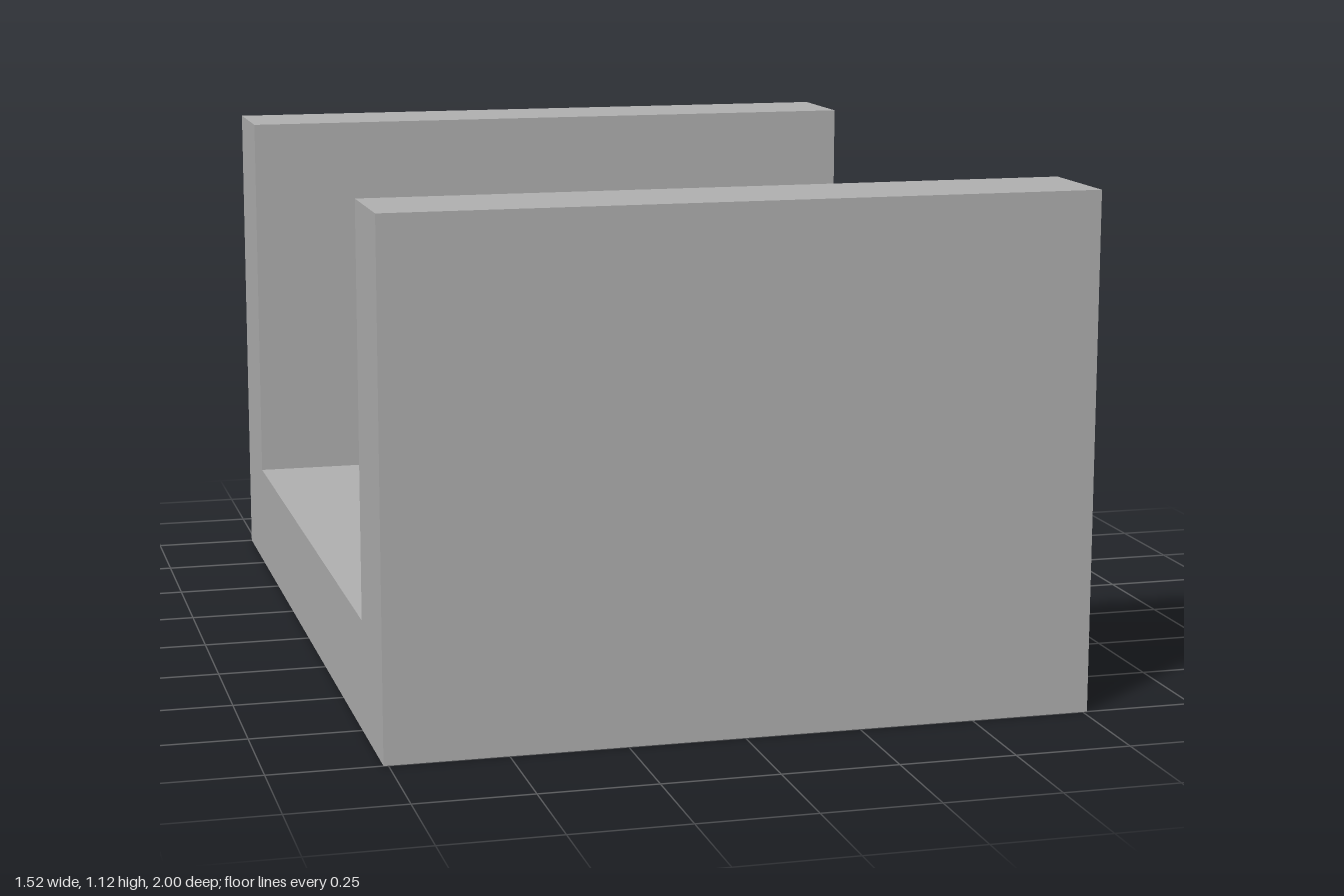
import * as THREE from 'three';

const WIDTH = 1.52, LENGTH = 2, HEIGHT = 1.12, THICK = 0.24;
const HOLE_RADIUS = 0.13, HOLE_DEPTH = 0.2, HOLE_Z = 0.38;

export function createModel() {
  const group = new THREE.Group();
  group.name = 'channelBracket';
  const grey = new THREE.MeshStandardMaterial({ color: 0xb0b0b0 });
  grey.name = 'grey';

  // U-shaped channel: floor and two upright walls, above the drilled layer
  const l = LENGTH / 2, inner = l - THICK;
  const profile = new THREE.Shape([
    [-l, HOLE_DEPTH], [l, HOLE_DEPTH], [l, HEIGHT], [inner, HEIGHT],
    [inner, THICK], [-inner, THICK], [-inner, HEIGHT], [-l, HEIGHT],
  ].map(([x, y]) => new THREE.Vector2(x, y)));
  const channelGeometry = new THREE.ExtrudeGeometry(profile, { depth: WIDTH, bevelEnabled: false });
  channelGeometry.translate(0, 0, -WIDTH / 2).rotateY(Math.PI / 2);
  const channel = new THREE.Mesh(channelGeometry, grey);
  channel.name = 'channel';
  group.add(channel);

  // Underside layer with two blind round holes
  const w = WIDTH / 2;
  const plate = new THREE.Shape([
    [-w, -l], [w, -l], [w, l], [-w, l],
  ].map(([x, y]) => new THREE.Vector2(x, y)));
  for (const z of [-HOLE_Z, HOLE_Z]) {
    plate.holes.push(new THREE.Path().absarc(0, z, HOLE_RADIUS, 0, Math.PI * 2, true));
  }
  const baseGeometry = new THREE.ExtrudeGeometry(plate, {
    depth: HOLE_DEPTH, bevelEnabled: false, curveSegments: 64,
  });
  baseGeometry.rotateX(-Math.PI / 2);
  const base = new THREE.Mesh(baseGeometry, grey);
  base.name = 'drilledBase';
  group.add(base);

  return group;
}
